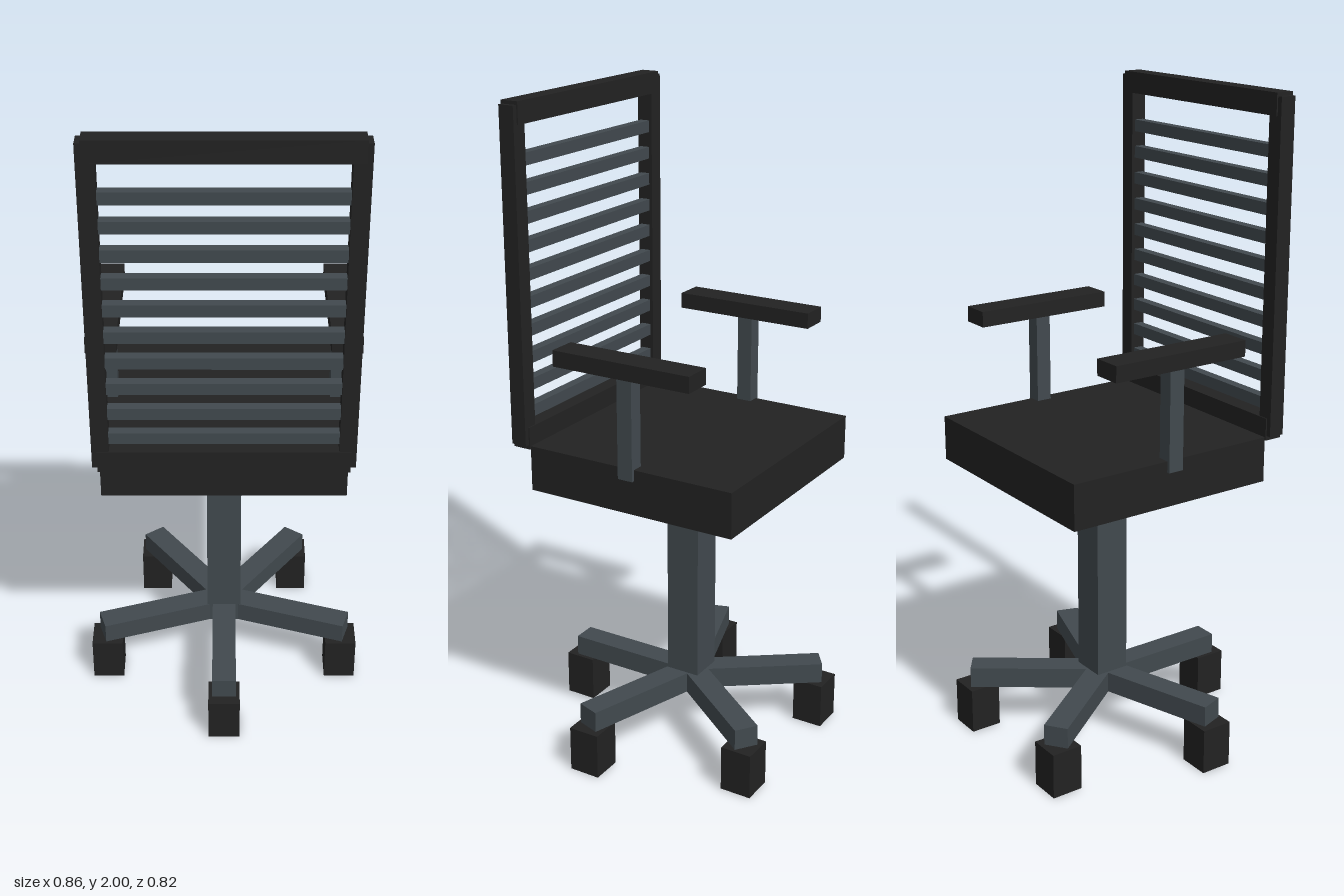
import * as THREE from 'three';

export function createModel() {
  const chair = new THREE.Group();
  chair.name = 'officeChair';

  const black = new THREE.MeshStandardMaterial({ color: 0x222222 });
  black.name = 'black';
  const gray = new THREE.MeshStandardMaterial({ color: 0x41494e });
  gray.name = 'slateGray';

  // Box given by its extents along each axis
  function box(name, material, [x0, x1], [y0, y1], [z0, z1], parent = chair) {
    const mesh = new THREE.Mesh(new THREE.BoxGeometry(x1 - x0, y1 - y0, z1 - z0), material);
    mesh.position.set((x0 + x1) / 2, (y0 + y1) / 2, (z0 + z1) / 2);
    mesh.name = name;
    parent.add(mesh);
    return mesh;
  }

  const axisZ = -0.037; // column axis

  // Seat and column
  box('seat', black, [-0.356, 0.356], [0.865, 1.003], [-0.376, 0.299]);
  box('column', gray, [-0.054, 0.054], [0.143, 0.866], [axisZ - 0.054, axisZ + 0.054]);

  // Five-legged base with square casters
  const base = new THREE.Group();
  base.name = 'base';
  base.position.z = axisZ;
  chair.add(base);
  for (let i = 0; i < 5; i++) {
    const angle = (i * Math.PI * 2) / 5;
    const leg = new THREE.Group();
    leg.name = 'leg';
    leg.rotation.y = angle;
    base.add(leg);
    box('legBar', gray, [-0.037, 0.037], [0.143, 0.208], [0, 0.415], leg);
    const x = Math.sin(angle) * 0.398;
    const z = Math.cos(angle) * 0.398;
    box('caster', black, [x - 0.049, x + 0.049], [0, 0.143], [z - 0.049, z + 0.049], base);
  }

  // Backrest frame
  const back = new THREE.Group();
  back.name = 'backrest';
  chair.add(back);
  box('topRail', black, [-0.357, 0.357], [1.936, 2], [0.301, 0.358], back);
  box('bottomRail', black, [-0.357, 0.357], [0.992, 1.06], [0.301, 0.358], back);

  // Horizontal slats
  for (let i = 0; i < 10; i++) {
    const y = 1.098 + i * 0.0819;
    box('slat', gray, [-0.33, 0.33], [y - 0.018, y + 0.018], [0.315, 0.345], back);
  }

  // Mirrored side posts and armrests
  for (const s of [-1, 1]) {
    const span = (a, b) => [Math.min(s * a, s * b), Math.max(s * a, s * b)];
    box('sidePost', black, span(0.323, 0.372), [1.006, 1.99], [0.305, 0.354], back);
    box('armPost', gray, span(0.32, 0.366), [0.97, 1.28], [-0.06, -0.012]);
    box('armPad', black, span(0.303, 0.392), [1.278, 1.326], [-0.262, 0.184]);
  }

  return chair;
}
